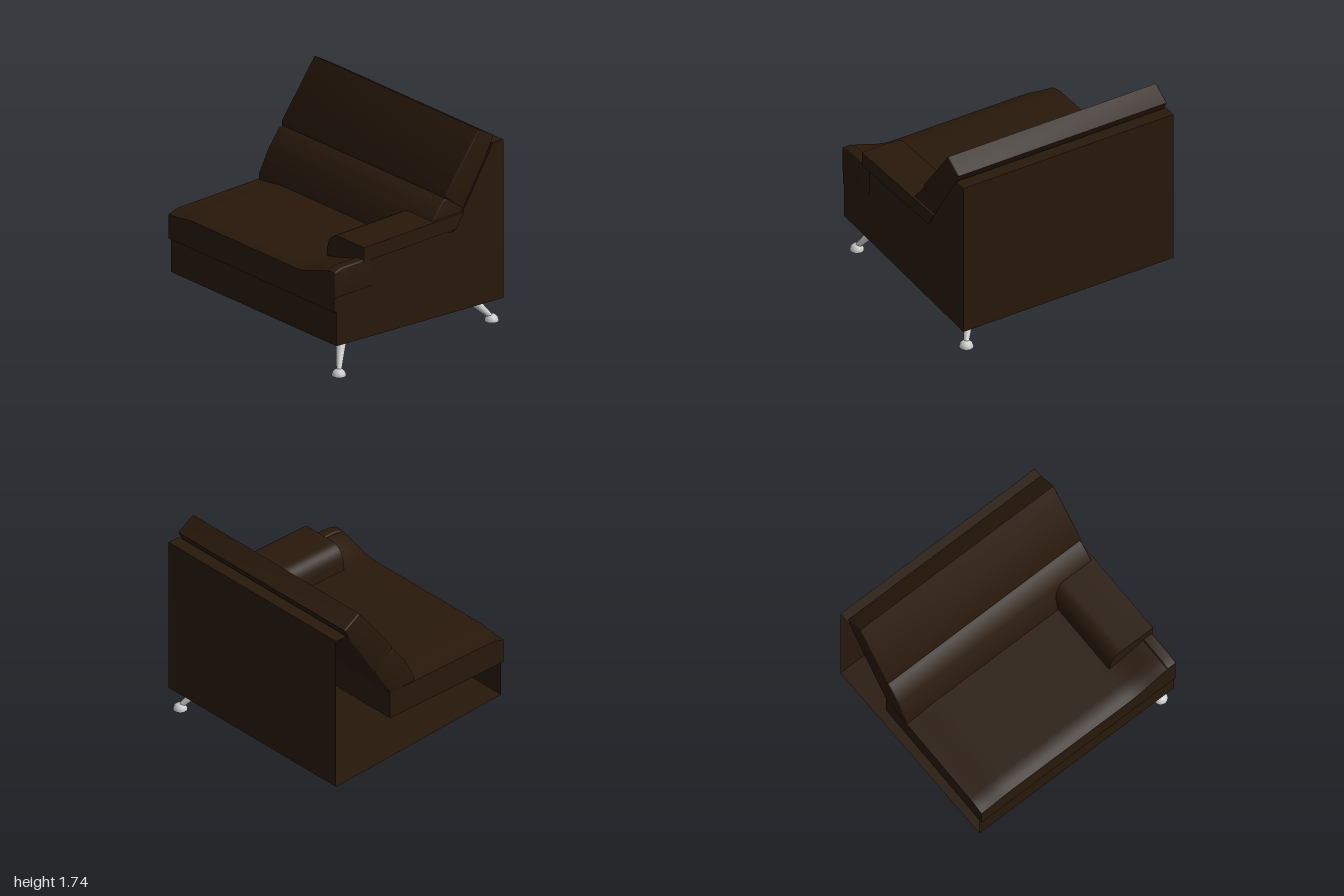
import * as THREE from 'three';
import { toCreasedNormals } from 'three/addons/utils/BufferGeometryUtils.js';

const leather = new THREE.MeshStandardMaterial({ color: 0x28180a, side: THREE.DoubleSide });
const metal = new THREE.MeshStandardMaterial({ color: 0xcccccc });

const shapeOf = (pts) => new THREE.Shape(pts.map(([x, y]) => new THREE.Vector2(x, y)));

function add(parent, name, geometry, material = leather) {
  const mesh = new THREE.Mesh(geometry, material);
  mesh.name = name;
  parent.add(mesh);
  return mesh;
}

// Side profile stretched along z, with softly rounded ends
function cushion(pts, z0, z1, bevel) {
  const g = new THREE.ExtrudeGeometry(shapeOf(pts), {
    depth: z1 - z0 - 2 * bevel, steps: 1, bevelEnabled: true,
    bevelThickness: bevel, bevelSize: bevel, bevelOffset: -bevel, bevelSegments: 3,
  });
  g.translate(0, 0, z0 + bevel);
  return toCreasedNormals(g, 0.7);
}

// Thin sheet following an open line in xy, running from z0 to z1
function sheet(line, z0, z1) {
  const pos = [], idx = [];
  for (let i = 0; i < line.length - 1; i++) {
    const [a, b] = [line[i], line[i + 1]], k = i * 4;
    pos.push(...a, z0, ...b, z0, ...b, z1, ...a, z1);
    idx.push(k, k + 1, k + 2, k, k + 2, k + 3);
  }
  const g = new THREE.BufferGeometry();
  g.setAttribute('position', new THREE.Float32BufferAttribute(pos, 3));
  g.setIndex(idx);
  g.computeVertexNormals();
  return g;
}

// Seat cushion: a box with a gently crowned top that swells up at the closed end
function seatGeometry() {
  const { smoothstep, lerp } = THREE.MathUtils;
  const g = new THREE.BoxGeometry(1, 1, 1, 24, 6, 32);
  const p = g.attributes.position;
  for (let i = 0; i < p.count; i++) {
    const u = p.getX(i) + 0.5, v = p.getY(i) + 0.5, w = p.getZ(i) + 0.5;
    const x = -0.91 + 1.23 * u;
    const z = -1 + 1.985 * w;
    const crown = 0.81 + 0.03 * smoothstep(x, -0.92, -0.8) + 0.03 * smoothstep(z, -1, -0.7);
    const top = lerp(crown, 0.945 + 0.015 * smoothstep(x, -0.91, -0.83), smoothstep(z, 0.52, 0.98));
    p.setXYZ(i, x, lerp(0.6, top, v), z);
  }
  g.computeVertexNormals();
  return g;
}

// Arm pillow: section in zy, run along x, with a slanted rear end
function armPillowGeometry() {
  const s = new THREE.Shape();
  s.moveTo(-1, 0.955);
  s.lineTo(-0.55, 0.855);
  s.quadraticCurveTo(-0.55, 1.07, -0.69, 1.08);
  s.lineTo(-1, 1.08);
  s.closePath();
  const g = new THREE.ExtrudeGeometry(s, { depth: 1, bevelEnabled: false, curveSegments: 8 });
  g.rotateY(Math.PI / 2);
  const p = g.attributes.position;
  for (let i = 0; i < p.count; i++) {
    const y = p.getY(i);
    p.setX(i, p.getX(i) < 0.5 ? -0.6 : 0.39 + (y - 0.95) * 0.65);
  }
  return toCreasedNormals(g, 0.6);
}

// Splayed tapering leg on a domed foot
function leg(name, foot, top) {
  const group = new THREE.Group();
  group.name = name;
  const a = new THREE.Vector3(...foot).setY(0.03), b = new THREE.Vector3(...top);
  const dir = b.clone().sub(a);
  const shaft = add(group, 'legShaft', new THREE.CylinderGeometry(0.052, 0.02, dir.length(), 20), metal);
  shaft.position.copy(a).add(b).multiplyScalar(0.5);
  shaft.quaternion.setFromUnitVectors(new THREE.Vector3(0, 1, 0), dir.normalize());
  const dome = [[0, 0], [0.058, 0], [0.058, 0.008], [0.05, 0.032], [0.032, 0.05], [0, 0.057]];
  const footGeo = new THREE.LatheGeometry(dome.map(([x, y]) => new THREE.Vector2(x, y)), 24);
  const pad = add(group, 'legFoot', toCreasedNormals(footGeo, 0.8), metal);
  pad.position.set(...foot);
  return group;
}

export function createModel() {
  const model = new THREE.Group();
  model.name = 'sofaSection';

  // Hollow frame, open at the end where the next section joins
  const frame = new THREE.Group();
  frame.name = 'frame';
  model.add(frame);
  add(frame, 'frameShell', sheet(
    [[-0.885, 0.72], [-0.885, 0.3], [0.905, 0.2], [0.905, 1.585], [0.79, 1.585]], -1, 0.988));
  const side = add(frame, 'sidePanel', new THREE.ShapeGeometry(shapeOf([
    [-0.885, 0.3], [0.905, 0.2], [0.905, 1.585], [0.79, 1.585],
    [0.38, 0.94], [-0.49, 0.94], [-0.49, 0.72], [-0.885, 0.72],
  ])));
  side.position.z = 0.988;

  // Seat and the padded corner that fills the notch of the side panel
  add(model, 'seatCushion', seatGeometry());
  add(model, 'seatCorner', cushion(
    [[-0.91, 0.72], [-0.51, 0.72], [-0.51, 0.97], [-0.83, 0.97], [-0.91, 0.945]], 0.9, 0.992, 0.012));

  // Leaning back cushion, lumbar roll below it, and arm pillow
  add(model, 'backCushion', cushion(
    [[0.3, 1.24], [0.485, 1.1], [0.735, 1.49], [0.812, 1.645], [0.652, 1.742], [0.3, 1.28]],
    -1, 0.98, 0.012));
  add(model, 'lumbarCushion', cushion(
    [[0.05, 0.84], [0.31, 0.83], [0.39, 0.95], [0.485, 1.1], [0.42, 1.2], [0.34, 1.245],
      [0.27, 1.225], [0.155, 1.08], [0.055, 0.89]], -1, 0.975, 0.012));
  add(model, 'armPillow', armPillowGeometry());

  // Legs stand only under the closed end
  model.add(leg('frontLeg', [-0.8, 0, 0.92], [-0.635, 0.3, 0.77]));
  model.add(leg('rearLeg', [0.84, 0, 0.92], [0.675, 0.235, 0.79]));
  return model;
}
